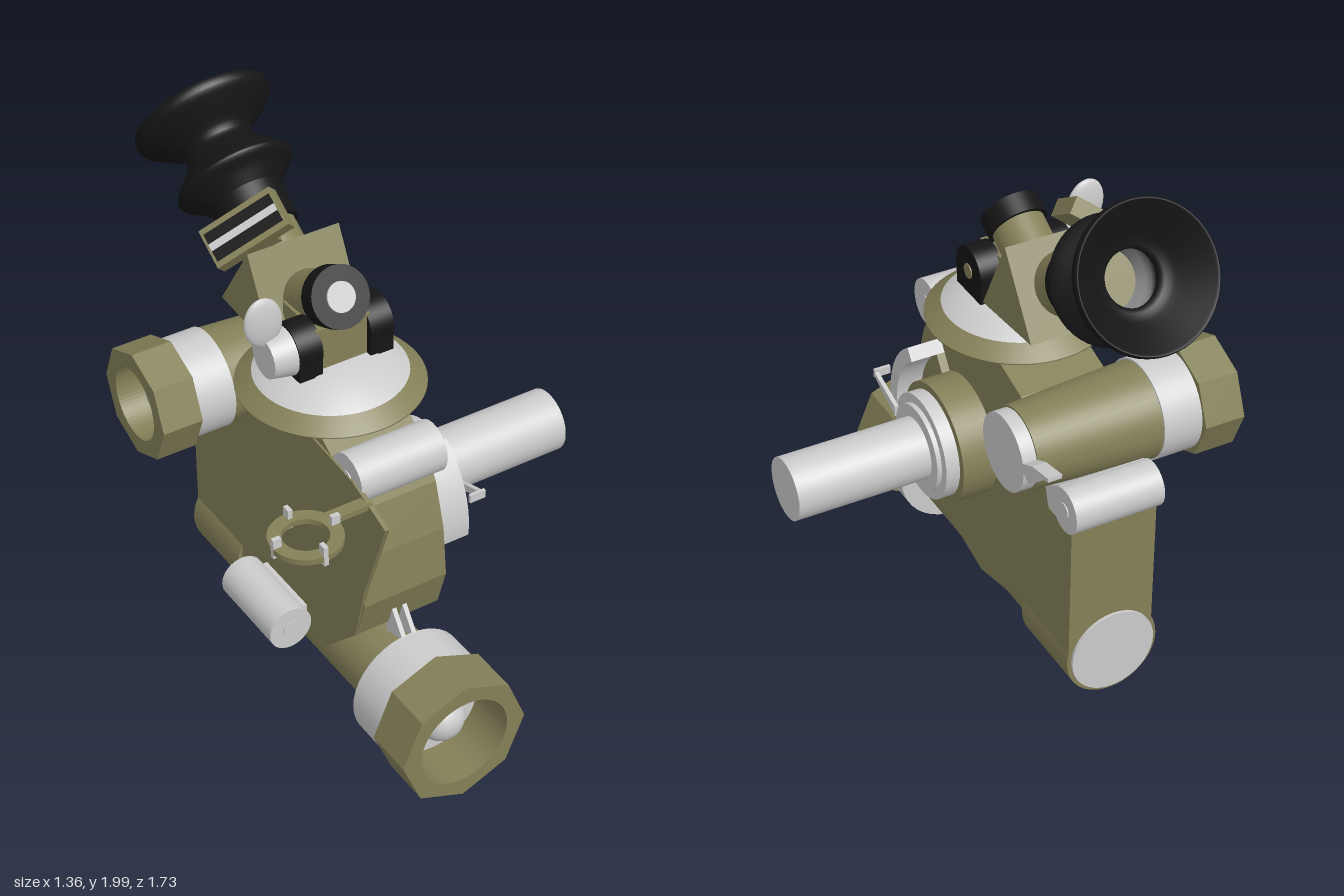
import * as THREE from 'three';

const V = (x, y, z) => new THREE.Vector3(x, y, z);
const material = (color) => new THREE.MeshStandardMaterial({ color, side: THREE.DoubleSide });
const CX = -0.165; // middle plane of the body

export function createModel() {
  const model = new THREE.Group();
  const olive = material(0x848058), grey = material(0xcccccc), black = material(0x151515);

  const add = (name, geometry, mat, parent = model) => {
    const mesh = new THREE.Mesh(geometry, mat);
    mesh.name = name;
    parent.add(mesh);
    return mesh;
  };
  const box = (name, size, pos, mat, parent) => {
    const mesh = add(name, new THREE.BoxGeometry(...size), mat, parent);
    mesh.position.set(...pos);
    return mesh;
  };
  // Round rod or cone between two points
  const rod = (name, a, b, r0, r1, mat, parent) => {
    const dir = b.clone().sub(a);
    const mesh = add(name, new THREE.CylinderGeometry(r1, r0, dir.length(), 40), mat, parent);
    mesh.position.copy(a).add(b).multiplyScalar(0.5);
    mesh.quaternion.setFromUnitVectors(V(0, 1, 0), dir.normalize());
    return mesh;
  };
  const polygon = (points) => new THREE.Shape(points.map(([a, b]) => new THREE.Vector2(a, b)));
  // Side profile in (z, y), extruded from x0 to x1
  const slab = (name, shape, x0, x1, mat, parent) => {
    const g = new THREE.ExtrudeGeometry(shape, { depth: x1 - x0, bevelEnabled: false, curveSegments: 20 });
    return add(name, g.rotateY(-Math.PI / 2).translate(x1, 0, 0), mat, parent);
  };

  // Main housing and the thin plate on its side
  slab('housing', polygon([[-0.6, 0.25], [-0.29, 0.27], [0.01, 0.2], [0.26, 0.27], [0.455, 0.47], [0.5, 0.62],
    [0.48, 0.8], [0.43, 0.96], [0.36, 1.08], [0.24, 1.15], [0.1, 1.18], [-0.1, 1.18], [-0.1, 1.16], [-0.26, 1.11],
    [-0.4, 0.96], [-0.45, 0.79], [-0.6, 0.79]]), -0.315, 0, olive);
  slab('sidePlate', polygon([[0.455, 0.47], [0.51, 0.7], [0.63, 1.035], [0.44, 1.1], [0.2, 1.12], [0.2, 0.47]]),
    -0.322, -0.306, olive);

  // Fitting: collar, eight-sided nut with round opening, and inner dome, facing local +z
  const fitting = (name, rCollar, rNut, rHole, collar, nut) => {
    const group = new THREE.Group();
    group.name = name;
    rod('collar', V(0, 0, 0), V(0, 0, collar), rCollar, rCollar, grey, group);
    const shape = polygon(Array.from({ length: 8 }, (_, i) =>
      [rNut * Math.cos(i * Math.PI / 4), rNut * Math.sin(i * Math.PI / 4)]));
    shape.holes.push(new THREE.Path().absarc(0, 0, rHole, 0, Math.PI * 2, true));
    add('nut', new THREE.ExtrudeGeometry(shape, { depth: nut, bevelEnabled: false, curveSegments: 32 }),
      olive, group).position.z = collar;
    add('dome', new THREE.SphereGeometry(rHole / 2, 32, 20), grey, group).position.z = collar + 0.03;
    model.add(group);
    return group;
  };

  // Lower tube along z
  rod('lowerTube', V(CX, 0.245, -0.3), V(CX, 0.245, 0.53), 0.145, 0.145, olive);
  rod('lowerTubeEnd', V(CX, 0.24, -0.6), V(CX, 0.24, -0.29), 0.17, 0.17, olive);
  rod('lowerEndCap', V(CX, 0.24, -0.61), V(CX, 0.24, -0.59), 0.155, 0.155, grey);
  fitting('frontFitting', 0.213, 0.236, 0.167, 0.16, 0.175).position.set(CX, 0.245, 0.53);
  for (const s of [-1, 1]) {
    slab('indexFin', polygon([[0.44, 0.42], [0.54, 0.45], [0.46, 0.56], [0.44, 0.56]]),
      CX + s * 0.02 - 0.008, CX + s * 0.02 + 0.008, grey);
  }

  // Upper rear tube along x
  rod('rearTube', V(-0.37, 1.015, -0.38), V(0.08, 1.015, -0.38), 0.168, 0.142, olive);
  rod('rearTubeCap', V(0.07, 1.015, -0.38), V(0.13, 1.015, -0.38), 0.135, 0.135, grey);
  const rear = fitting('rearFitting', 0.174, 0.198, 0.13, 0.14, 0.145);
  rear.position.set(-0.365, 1.015, -0.38);
  rear.rotation.y = -Math.PI / 2;
  slab('capLever', polygon([[-0.48, 1.04], [-0.57, 1.085], [-0.67, 1.105], [-0.67, 1.09], [-0.59, 1.065], [-0.55, 1.0]]),
    0.08, 0.13, grey);

  // Round level vials around the housing
  const vial = (name, a, b, r) => {
    rod(name, a, b, r, r, grey);
    const out = b.clone().sub(a).normalize().multiplyScalar(0.004);
    rod(name + 'Plug', a.clone().sub(out), b.clone().add(out), 0.028, 0.028, grey);
  };
  vial('frontVial', V(-0.315, 1.085, 0.4), V(0.005, 1.085, 0.4), 0.087);
  vial('rearVial', V(-0.32, 0.857, -0.56), V(0.005, 0.857, -0.56), 0.08);
  slab('rearVialBracket', polygon([[-0.43, 0.87], [-0.45, 0.8], [-0.56, 0.79], [-0.52, 0.93]]), -0.31, 0.002, grey);
  vial('sideVial', V(-0.397, 0.32, -0.15), V(-0.397, 0.32, 0.17), 0.08);
  box('sideVialBracket', [0.1, 0.09, 0.26], [-0.33, 0.32, 0.01], grey);

  // Side boss, shaft, graduated arc and pointer
  const axis = (x) => V(x, 0.727, 0.115);
  rod('boss', axis(-0.01), axis(0.125), 0.215, 0.215, olive);
  rod('bossRing', axis(0.12), axis(0.175), 0.188, 0.188, grey);
  rod('bossInnerRing', axis(0.17), axis(0.192), 0.155, 0.155, grey);
  rod('shaft', axis(0.18), axis(0.675), 0.111, 0.111, grey);
  const arc = (r0, r1, a, b) => {
    const s = new THREE.Shape();
    s.absarc(0.115, 0.727, r1, a, b, false);
    s.absarc(0.115, 0.727, r0, b, a, true);
    return s;
  };
  slab('arcPlate', arc(0.28, 0.33, -0.12, 0.96), 0, 0.125, grey);
  slab('arcBacking', arc(0.2, 0.28, -0.12, 0.96), 0, 0.03, olive);
  slab('pointer', polygon([[0.28, 0.75], [0.28, 0.79], [0.44, 0.84], [0.44, 0.825]]), 0.175, 0.19, grey);
  box('pointerTip', [0.06, 0.03, 0.012], [0.16, 0.832, 0.436], grey);

  // Ring sight on a side arm
  const ringShape = new THREE.Shape().absarc(0, 0, 0.12, 0, Math.PI * 2, false);
  ringShape.holes.push(new THREE.Path().absarc(0, 0, 0.075, 0, Math.PI * 2, true));
  const ring = add('ringSight', new THREE.ExtrudeGeometry(ringShape,
    { depth: 0.02, bevelEnabled: false, curveSegments: 32 }), olive);
  ring.rotation.x = -Math.PI / 2;
  ring.position.set(-0.56, 1.052, 0.55);
  box('ringArm', [0.16, 0.02, 0.045], [-0.385, 1.062, 0.512], olive);
  for (let i = 0; i < 4; i++) {
    const a = i * Math.PI / 2;
    const peg = box('ringPeg', [0.03, 0.07, 0.016],
      [-0.56 + 0.105 * Math.cos(a), 1.07, 0.55 + 0.105 * Math.sin(a)], grey);
    peg.rotation.y = -a;
  }

  // Turntable under the sighting head
  const disc = (name, points, mat) =>
    add(name, new THREE.LatheGeometry(points.map(([r, y]) => new THREE.Vector2(r, y)), 64), mat)
      .position.set(CX, 0, 0.063);
  rod('neck', V(CX, 1.16, 0.063), V(CX, 1.22, 0.063), 0.06, 0.06, black);
  disc('turntableRim', [[0, 1.2], [0.312, 1.2], [0.312, 1.205], [0.25, 1.25]], olive);
  disc('turntableCone', [[0.255, 1.247], [0.15, 1.32], [0, 1.32]], grey);

  // Hinge block with clamps on both sides
  box('hingeBlock', [0.2, 0.16, 0.2], [CX, 1.39, 0.04], olive);
  for (const s of [-1, 1]) {
    const x = CX + s * 0.132;
    rod('hingeClamp', V(x - 0.043, 1.4, 0.08), V(x + 0.043, 1.4, 0.08), 0.086, 0.086, black);
    box('clampFoot', [0.086, 0.09, 0.165], [x, 1.36, 0.08], black);
  }
  rod('hingePin', V(-0.2, 1.4, 0.08), V(0.014, 1.4, 0.08), 0.026, 0.026, olive);

  // Wing screw
  rod('wingScrew', V(-0.42, 1.395, 0.08), V(-0.335, 1.395, 0.08), 0.07, 0.085, grey);
  const wing = add('wing', new THREE.SphereGeometry(1, 28, 16), grey);
  wing.scale.set(0.068, 0.092, 0.022);
  wing.position.set(-0.42, 1.53, 0.08);
  wing.rotation.z = 0.15;

  // Prism housing and objective
  slab('prismHousing', polygon([[-0.01, 1.33], [-0.33, 1.355], [-0.155, 1.62]]), -0.335, 0.005, olive);
  const along = (t) => V(CX, 1.56 - 0.5 * t, 0.127 - 0.866 * t);
  rod('objectiveTube', along(0.04), along(0.28), 0.09, 0.09, olive);
  rod('objectiveRim', along(0), along(0.07), 0.103, 0.103, black);
  rod('objectiveLens', along(-0.006), along(0.01), 0.05, 0.05, grey);

  // Eyepiece, built along its own tilted y axis with the eyecup mouth at the origin
  const eye = new THREE.Group();
  eye.name = 'eyepiece';
  eye.position.set(CX, 1.793, -0.735);
  eye.rotation.x = -58 * Math.PI / 180;
  model.add(eye);
  const cup = new THREE.SplineCurve([[0.1, -0.29], [0.165, -0.26], [0.09, -0.13], [0.13, -0.09], [0.215, -0.015], [0.238, 0],
    [0.238, -0.035], [0.19, -0.075], [0.125, -0.125], [0.135, -0.175], [0.2, -0.245], [0.203, -0.27],
    [0.165, -0.3], [0.128, -0.34]].map(([r, y]) => new THREE.Vector2(r, y)));
  add('eyecup', new THREE.LatheGeometry(cup.getPoints(60), 48), black, eye);
  rod('eyepieceCollar', V(0, -0.47, 0), V(0, -0.32, 0), 0.122, 0.126, black, eye);
  rod('eyepieceTube', V(0, -0.74, 0), V(0, -0.29, 0), 0.108, 0.108, olive, eye);

  // Slotted window box leaning on the eyepiece tube
  const win = new THREE.Group();
  win.name = 'windowBox';
  win.position.set(0, -0.5, 0);
  win.rotation.y = -0.69;
  eye.add(win);
  box('windowStem', [0.12, 0.12, 0.12], [0, 0, 0.13], olive, win);
  box('windowFrame', [0.27, 0.14, 0.06], [0, 0, 0.2], olive, win);
  box('windowPanel', [0.25, 0.1, 0.004], [0, 0, 0.231], black, win);
  box('windowBar', [0.25, 0.025, 0.008], [0, 0, 0.232], grey, win);

  return model;
}
